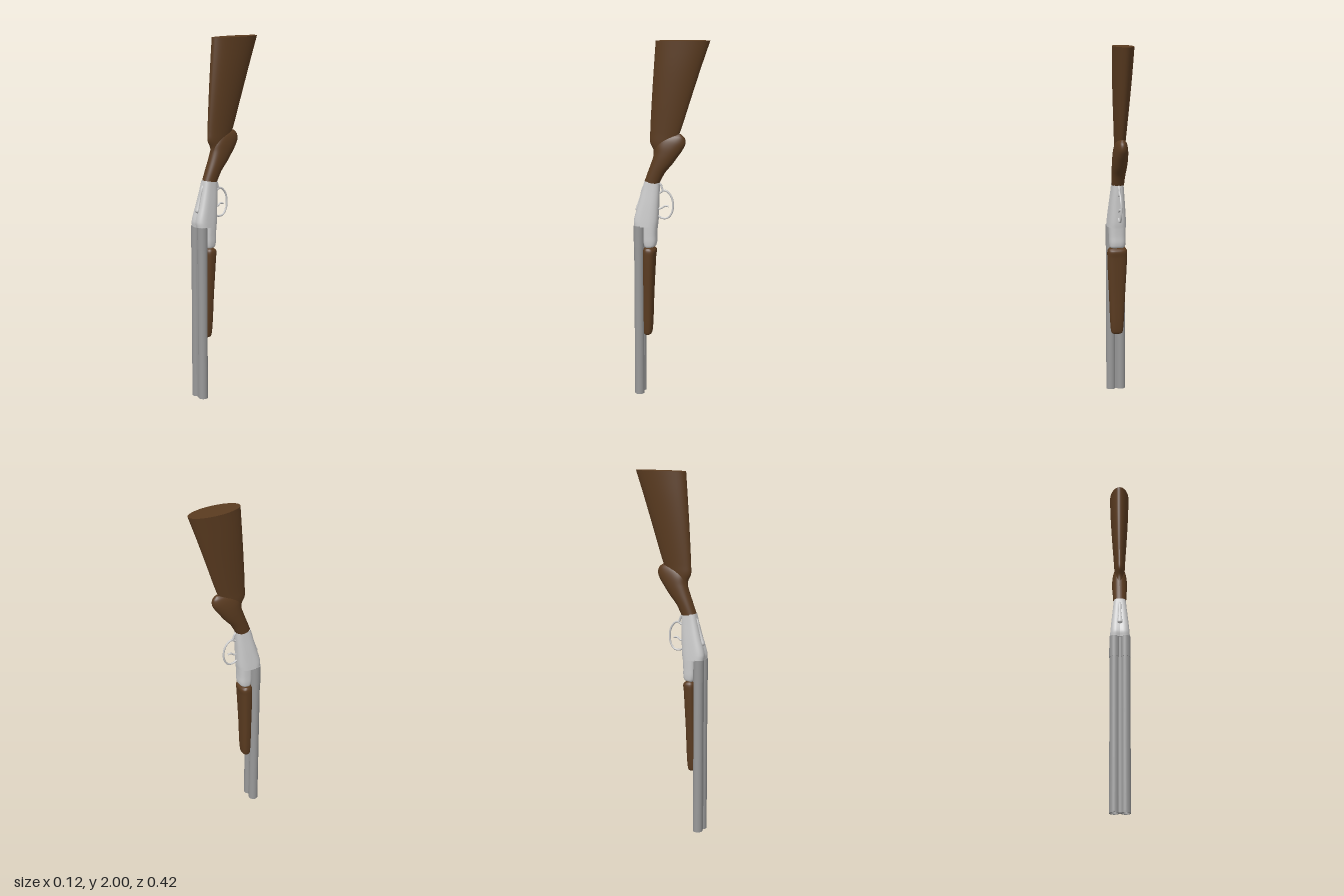
import * as THREE from 'three';

const WOOD = 0x5a3b20, STEEL = 0x999999, GREY = 0xcccccc;
const mat = (color) => new THREE.MeshStandardMaterial({ color });
const V = (x, y, z) => new THREE.Vector3(x, y, z);

function part(name, geometry, color) {
  const m = new THREE.Mesh(geometry, mat(color));
  m.name = name;
  return m;
}

// Smooth loft through sections [yFront, zFront, yBack, zBack, halfWidth],
// each a superellipse of the given power; lobe pinches the middle of the front.
function loft(sections, { power = 2, steps = 6, seg = 40, lobe = 0, taper = 0 } = {}) {
  const front = new THREE.CatmullRomCurve3(sections.map((s) => V(s[4], s[0], s[1])));
  const back = new THREE.CatmullRomCurve3(sections.map((s) => V(0, s[2], s[3])));
  const rows = (sections.length - 1) * steps;
  const pos = [], idx = [];
  const ring = (t) => {
    const f = front.getPoint(t), b = back.getPoint(t);
    for (let j = 0; j <= seg; j++) {
      const a = (j % seg) / seg * Math.PI * 2;
      const c = Math.cos(a), s = Math.sin(a);
      const u = Math.sign(c) * Math.abs(c) ** (2 / power);
      const v = Math.sign(s) * Math.abs(s) ** (2 / power);
      const k = (1 + u) / 2;
      const dip = u > 0 ? lobe * (1 - t) * u * Math.exp(-((v / 0.3) ** 2)) : 0;
      pos.push(f.x * v * (1 - taper * (1 - k)), b.y + (f.y - b.y) * k, b.z + (f.z - b.z) * k - dip);
    }
  };
  for (let i = 0; i <= rows; i++) ring(i / rows);
  const w = seg + 1;
  for (let i = 0; i < rows; i++) {
    for (let j = 0; j < seg; j++) {
      const p = i * w + j;
      idx.push(p, p + 1, p + w, p + 1, p + w + 1, p + w);
    }
  }
  // flat end caps
  for (const t of [0, 1]) {
    const base = pos.length / 3;
    ring(t);
    const c = front.getPoint(t).add(back.getPoint(t)).multiplyScalar(0.5);
    pos.push(0, c.y, c.z);
    for (let j = 0; j < seg; j++) {
      if (t) idx.push(base + w, base + j, base + j + 1);
      else idx.push(base + w, base + j + 1, base + j);
    }
  }
  const g = new THREE.BufferGeometry();
  g.setAttribute('position', new THREE.Float32BufferAttribute(pos, 3));
  g.setIndex(idx);
  g.computeVertexNormals();
  return g;
}

// Round rod through [y, z] points in the middle plane
function rod(points, r, closed = false) {
  const curve = new THREE.CatmullRomCurve3(points.map(([y, z]) => V(0, y, z)), closed);
  return new THREE.TubeGeometry(curve, 48, r, 10, closed);
}

// Hollow tube with square rims, as a closed lathe with split corners
function pipe(y0, y1, rOut, rIn) {
  const c = [[rIn, y0], [rOut, y0], [rOut, y1], [rIn, y1], [rIn, y0]];
  const pts = [];
  for (let i = 0; i < 4; i++) {
    const a = new THREE.Vector2(...c[i]), b = new THREE.Vector2(...c[i + 1]);
    pts.push(a, a.clone().lerp(b, 0.01), a.clone().lerp(b, 0.99));
  }
  pts.push(new THREE.Vector2(...c[4]));
  return new THREE.LatheGeometry(pts, 36);
}

export function createModel() {
  const model = new THREE.Group();

  // Twin barrels with thicker breech ends
  const barrels = new THREE.Group();
  barrels.name = 'barrels';
  for (const side of [-1, 1]) {
    const barrel = part(side > 0 ? 'leftBarrel' : 'rightBarrel', pipe(0, 0.98, 0.0265, 0.021), STEEL);
    const breech = part(side > 0 ? 'leftBreech' : 'rightBreech', pipe(0.86, 0.982, 0.0285, 0.022), STEEL);
    for (const m of [barrel, breech]) {
      m.position.set(side * 0.029, 0, 0.179);
      barrels.add(m);
    }
  }
  // Sighting rib in front and joining rib behind
  for (const [name, z, w] of [['topRib', 0.189, 0.016], ['lowerRib', 0.172, 0.016]]) {
    const rib = part(name, new THREE.BoxGeometry(w, 0.98, 0.014), STEEL);
    rib.position.set(0, 0.49, z);
    barrels.add(rib);
  }
  model.add(barrels);

  // Receiver body and the rounded bar below the breech
  model.add(part('receiver', loft([
    [0.978, 0.208, 0.978, 0.078, 0.059],
    [1.01, 0.21, 1.01, 0.074, 0.057],
    [1.1, 0.185, 1.1, 0.07, 0.049],
    [1.18, 0.163, 1.17, 0.067, 0.041],
    [1.232, 0.15, 1.222, 0.066, 0.036],
  ], { power: 3, lobe: 0.008, taper: 0.18 }), GREY));
  model.add(part('receiverBar', loft([
    [0.853, 0.135, 0.857, 0.108, 0.03],
    [0.86, 0.148, 0.864, 0.09, 0.044],
    [0.885, 0.156, 0.885, 0.083, 0.049],
    [0.93, 0.158, 0.93, 0.082, 0.05],
    [1.0, 0.158, 1.0, 0.077, 0.051],
  ], { power: 2.8, taper: 0.15 }), GREY));

  // Opening lever on the receiver tang
  model.add(part('openingLever', loft([
    [1.058, 0.197, 1.058, 0.185, 0.009],
    [1.068, 0.203, 1.068, 0.18, 0.014],
    [1.09, 0.196, 1.09, 0.175, 0.012],
    [1.14, 0.179, 1.14, 0.165, 0.007],
    [1.19, 0.166, 1.19, 0.15, 0.008],
    [1.205, 0.158, 1.205, 0.148, 0.004],
  ], { power: 2.6, seg: 20 }), GREY));

  // Trigger guard loop, its tang and the trigger
  model.add(part('triggerGuard', rod([
    [1.035, 0.075], [1.023, 0.05], [1.027, 0.02], [1.055, -0.002], [1.1, -0.009],
    [1.145, 0], [1.175, 0.025], [1.18, 0.045], [1.168, 0.06], [1.165, 0.075],
  ], 0.0055), GREY));
  model.add(part('guardTang', rod([[1.222, 0.072], [1.212, 0.06], [1.19, 0.052], [1.172, 0.045]], 0.006), GREY));
  model.add(part('trigger', rod([[1.075, 0.075], [1.08, 0.055], [1.093, 0.035], [1.09, 0.015]], 0.005), GREY));

  // Wooden fore-end under the barrels
  model.add(part('foreEnd', loft([
    [0.345, 0.145, 0.345, 0.125, 0.022],
    [0.352, 0.156, 0.352, 0.115, 0.031],
    [0.38, 0.16, 0.38, 0.109, 0.036],
    [0.6, 0.16, 0.6, 0.1, 0.047],
    [0.8, 0.16, 0.8, 0.09, 0.056],
    [0.842, 0.158, 0.842, 0.087, 0.055],
    [0.855, 0.15, 0.855, 0.1, 0.047],
  ], { power: 2.7 }), WOOD));

  // Pistol grip ending in a rounded knob
  model.add(part('grip', loft([
    [1.23, 0.15, 1.218, 0.068, 0.035],
    [1.285, 0.13, 1.28, 0.035, 0.038],
    [1.345, 0.108, 1.325, -0.003, 0.041],
    [1.39, 0.094, 1.365, -0.032, 0.042],
    [1.435, 0.085, 1.405, -0.06, 0.04],
    [1.47, 0.06, 1.44, -0.077, 0.034],
    [1.488, 0.02, 1.472, -0.074, 0.024],
    [1.496, -0.025, 1.493, -0.055, 0.01],
  ], { power: 2.2 }), WOOD));

  // Buttstock widening to a flat oval end
  model.add(part('buttstock', loft([
    [1.36, 0.1, 1.38, 0.03, 0.022],
    [1.405, 0.1, 1.42, 0.0, 0.026],
    [1.445, 0.118, 1.465, -0.03, 0.029],
    [1.5, 0.118, 1.5, -0.046, 0.031],
    [1.7, 0.107, 1.7, -0.111, 0.043],
    [1.86, 0.096, 1.86, -0.163, 0.051],
    [1.997, 0.086, 2.0, -0.211, 0.055],
  ]), WOOD));

  return model;
}
